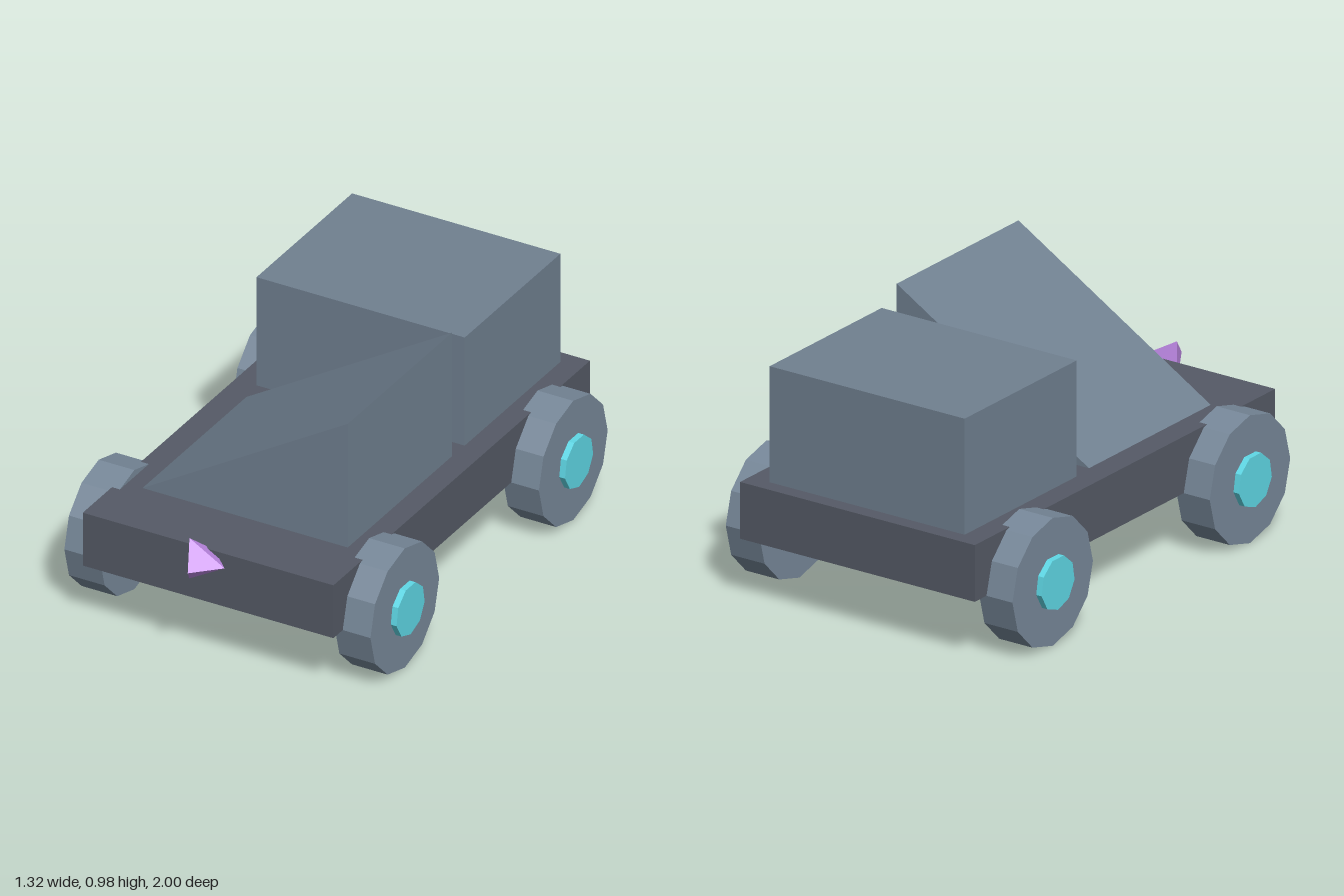
import * as THREE from 'three';

const mat = (color) => new THREE.MeshStandardMaterial({ color, flatShading: true });

export function createModel() {
  const model = new THREE.Group();
  const panel = mat(0x708090);
  const frame = mat(0x555a66);
  const tyre = mat(0x778899);
  const cyan = mat(0x5fd8e6);
  const purple = mat(0xc08ae8);

  const add = (name, geometry, material, x, y, z) => {
    const mesh = new THREE.Mesh(geometry, material);
    mesh.name = name;
    mesh.position.set(x, y, z);
    model.add(mesh);
    return mesh;
  };

  // Flat chassis slab
  add('chassis', new THREE.BoxGeometry(1.04, 0.22, 1.85), frame, 0, 0.36, -0.075);

  // Box body at the rear
  add('rearBody', new THREE.BoxGeometry(0.864, 0.45, 0.69), panel, 0, 0.695, -0.595);

  // Wedge cab, rising towards the model's left
  const profile = new THREE.Shape([
    new THREE.Vector2(-0.43, 0.465),
    new THREE.Vector2(0.43, 0.465),
    new THREE.Vector2(0.43, 0.985),
  ]);
  const wedge = new THREE.ExtrudeGeometry(profile, { depth: 0.75, bevelEnabled: false });
  add('wedgeCab', wedge, panel, 0, 0, -0.16);

  // Axial cylinder along x with a corner pointing straight down
  const disc = (radius, width, sides) =>
    new THREE.CylinderGeometry(radius, radius, width, sides).rotateX(Math.PI / 2).rotateY(Math.PI / 2);

  // Four wheels, each with a hub running through it
  for (const side of [-1, 1]) {
    for (const [end, z] of [['front', 0.535], ['rear', -0.68]]) {
      const label = end + (side > 0 ? 'Left' : 'Right');
      add(label + 'Wheel', disc(0.248, 0.148, 12), tyre, side * 0.561, 0.25, z);
      add(label + 'Hub', disc(0.103, 0.171, 9), cyan, side * 0.5735, 0.25, z);
    }
  }

  // Three-sided double pyramid on the nose
  const gem = new THREE.SphereGeometry(0.097, 3, 2).rotateX(Math.PI / 2).rotateZ(Math.PI);
  add('noseOrnament', gem, purple, 0, 0.443, 0.9);

  return model;
}
